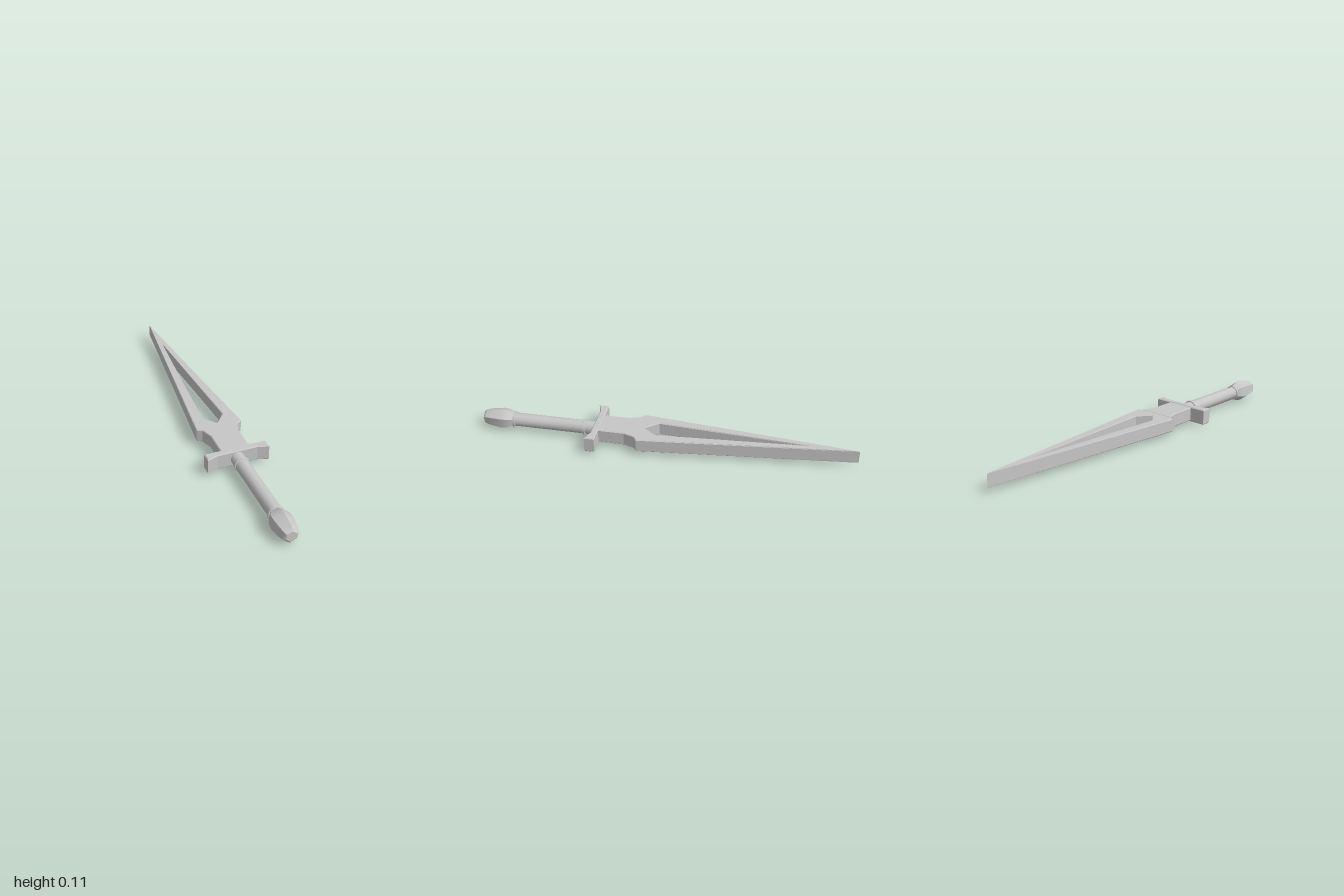
import * as THREE from 'three';
import { toCreasedNormals } from 'three/addons/utils/BufferGeometryUtils.js';

const AXIS_Y = 0.0572; // height of the sword's long axis

export function createModel() {
  const group = new THREE.Group();
  const steel = new THREE.MeshStandardMaterial({ color: 0xc6c6c6 });
  steel.name = 'grey steel';

  const add = (name, geometry) => {
    const mesh = new THREE.Mesh(geometry, steel);
    mesh.name = name;
    group.add(mesh);
  };

  // Mirrors a half outline of [x, z] points (x > 0) to the other side
  const mirrored = (half) => [
    ...half,
    ...half.filter(([x]) => x > 0).reverse().map(([x, z]) => [-x, z]),
  ].map(([x, z]) => new THREE.Vector2(x, -z));

  // Bevelled plate lying in xz, from height y0 to y1; a hole runs the other way round
  const plate = (half, y0, y1, bevel, hole = null) => {
    const shape = new THREE.Shape(mirrored(half));
    if (hole) shape.holes.push(new THREE.Path(mirrored(hole).reverse()));
    return new THREE.ExtrudeGeometry(shape, {
      depth: y1 - y0 - 2 * bevel,
      bevelThickness: bevel,
      bevelSize: bevel,
      bevelOffset: -bevel,
      bevelSegments: 1,
    }).rotateX(-Math.PI / 2).translate(0, y0 + bevel, 0);
  };

  // Turned part along z, from [radius, z] points, soft except at strong edges
  const turned = (profile, sides, start = 0) => toCreasedNormals(
    new THREE.LatheGeometry(profile.map(([r, z]) => new THREE.Vector2(r, z)), sides, start)
      .rotateX(Math.PI / 2).translate(0, AXIS_Y, 0), 0.6);

  // Blade with a long open slot
  add('blade', plate(
    [[0, -1], [0.123, 0.137], [0.097, 0.155]], 0.024, 0.095, 0.004,
    [[0, -0.75], [0.055, 0.047], [0, 0.114]]));

  // Block joining blade and guard
  add('bladeBase', plate([[0.098, 0.148], [0.075, 0.212], [0.075, 0.36]], 0.0225, 0.0965, 0.004));

  // Crossguard with ends flared toward the grip
  add('guard', plate([[0.163, 0.349], [0.163, 0.402], [0.105, 0.384]], 0.016, 0.1, 0.005));

  // Grip with a collar at each end
  add('grip', turned([[0, 0.37], [0.036, 0.37], [0.036, 0.85], [0, 0.85]], 12));
  for (const [name, z] of [['frontCollar', 0.831], ['rearCollar', 0.442]]) {
    add(name, turned([
      [0.034, z - 0.008], [0.042, z - 0.005], [0.042, z + 0.005], [0.034, z + 0.008],
    ], 12));
  }

  // Six-sided pommel, slightly twisted
  add('pommel', turned([
    [0, 0.834], [0.038, 0.836], [0.049, 0.855], [0.056, 0.877], [0.057, 0.905],
    [0.051, 0.945], [0.044, 0.982], [0.039, 0.993], [0.029, 1], [0, 1],
  ], 6, -0.12));

  return group;
}
